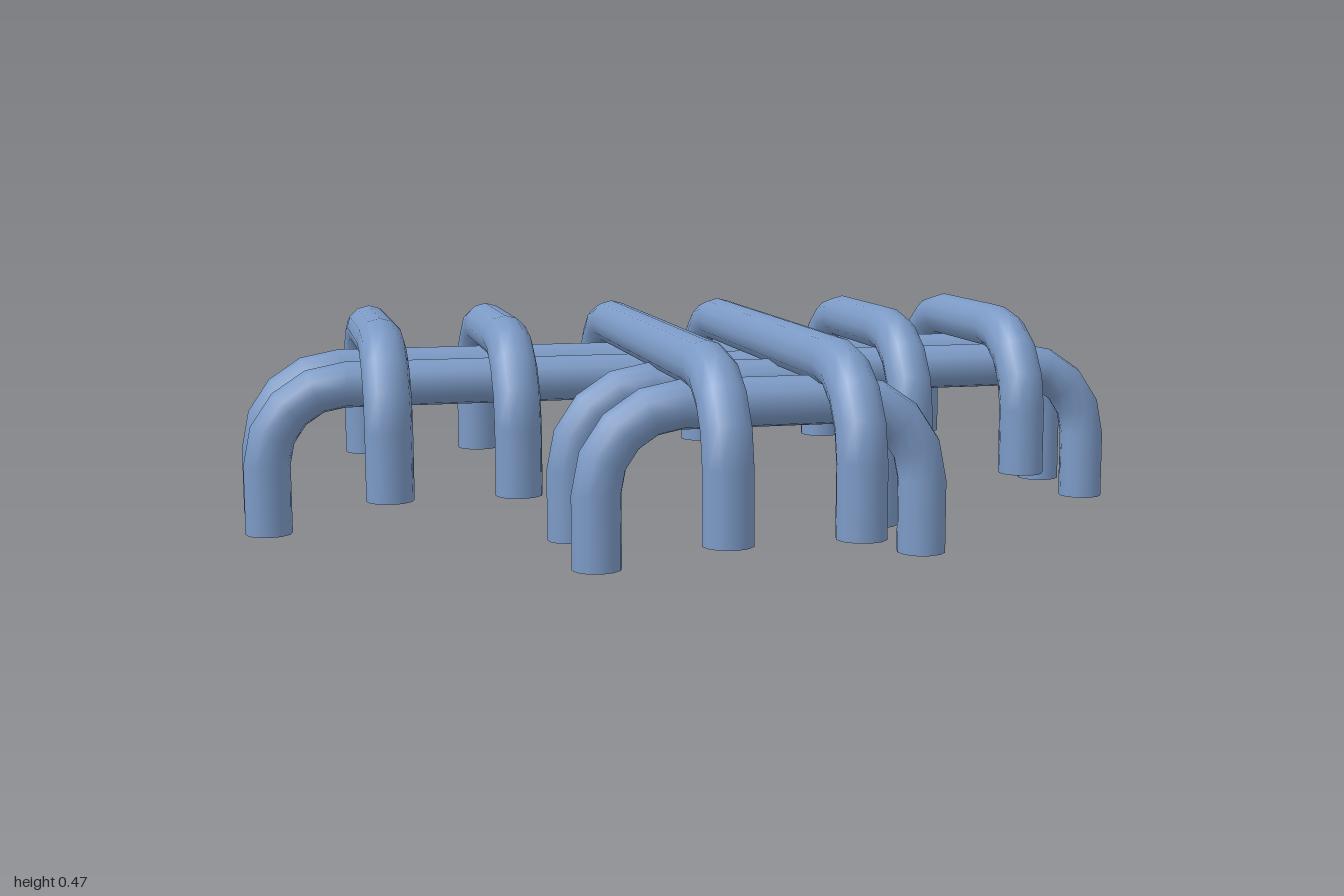
import * as THREE from 'three';

const RADIUS = 0.05, BEND = 0.17, SIDES = 12, STEPS = 4;

// Staple-shaped path in the XY plane, sampled only where the rod changes direction
class StaplePath extends THREE.Curve {
  constructor(a, b, bottom, top) {
    super();
    const V = (x, y) => new THREE.Vector3(x, y, 0);
    this.stations = [[V(a, bottom), V(0, 1)]];
    for (let i = 0; i <= STEPS; i++) {
      const t = (i / STEPS) * Math.PI / 2;
      this.stations.push([
        V(a + BEND * (1 - Math.cos(t)), top - BEND * (1 - Math.sin(t))),
        V(Math.sin(t), Math.cos(t))]);
    }
    for (let i = 0; i <= STEPS; i++) {
      const t = (i / STEPS) * Math.PI / 2;
      this.stations.push([
        V(b - BEND * (1 - Math.sin(t)), top - BEND * (1 - Math.cos(t))),
        V(Math.cos(t), -Math.sin(t))]);
    }
    this.stations.push([V(b, bottom), V(0, -1)]);
  }
  station(u) { return this.stations[Math.round(u * (this.stations.length - 1))]; }
  getPoint(u) { return this.station(u)[0].clone(); }
  getPointAt(u) { return this.getPoint(u); }
  getTangentAt(u) { return this.station(u)[1].clone(); }
}

// Bent rod with closed feet, spanning from a to b
function makeRod(name, a, b, bottom, top, material) {
  const rod = new THREE.Group();
  rod.name = name;
  const path = new StaplePath(a, b, bottom, top);
  const tube = new THREE.Mesh(
    new THREE.TubeGeometry(path, path.stations.length - 1, RADIUS, SIDES, false), material);
  tube.name = 'bentTube';
  rod.add(tube);
  for (const x of [a, b]) {
    const cap = new THREE.Mesh(new THREE.CircleGeometry(RADIUS, SIDES), material);
    cap.name = 'footCap';
    cap.rotation.x = Math.PI / 2;
    cap.position.set(x, bottom, 0);
    rod.add(cap);
  }
  return rod;
}

export function createModel() {
  const model = new THREE.Group();
  model.name = 'bentRodFrame';
  const steel = new THREE.MeshStandardMaterial({ color: 0x7c9ac6 });
  steel.name = 'blueSteel';

  // Wide rods running left to right at the back
  for (const z of [-0.43, -0.18]) {
    const rod = makeRod('wideCrossRod', -0.95, 0.95, 0, 0.32, steel);
    rod.position.z = z;
    model.add(rod);
  }

  // Narrow rods running left to right at the front
  for (const z of [0.115, 0.405]) {
    const rod = makeRod('narrowCrossRod', -0.34, 0.33, 0.016, 0.335, steel);
    rod.position.z = z;
    model.add(rod);
  }

  // Upper rods running front to back; the middle pair reaches further forward
  for (const x of [-0.705, -0.435, -0.135, 0.125, 0.44, 0.705]) {
    const long = Math.abs(x) < 0.2;
    const rod = makeRod(long ? 'longUpperRod' : 'shortUpperRod',
      long ? -0.635 : -0.03, 0.637, 0.1, 0.416, steel);
    rod.rotation.y = Math.PI / 2;
    rod.position.x = x;
    model.add(rod);
  }
  return model;
}
